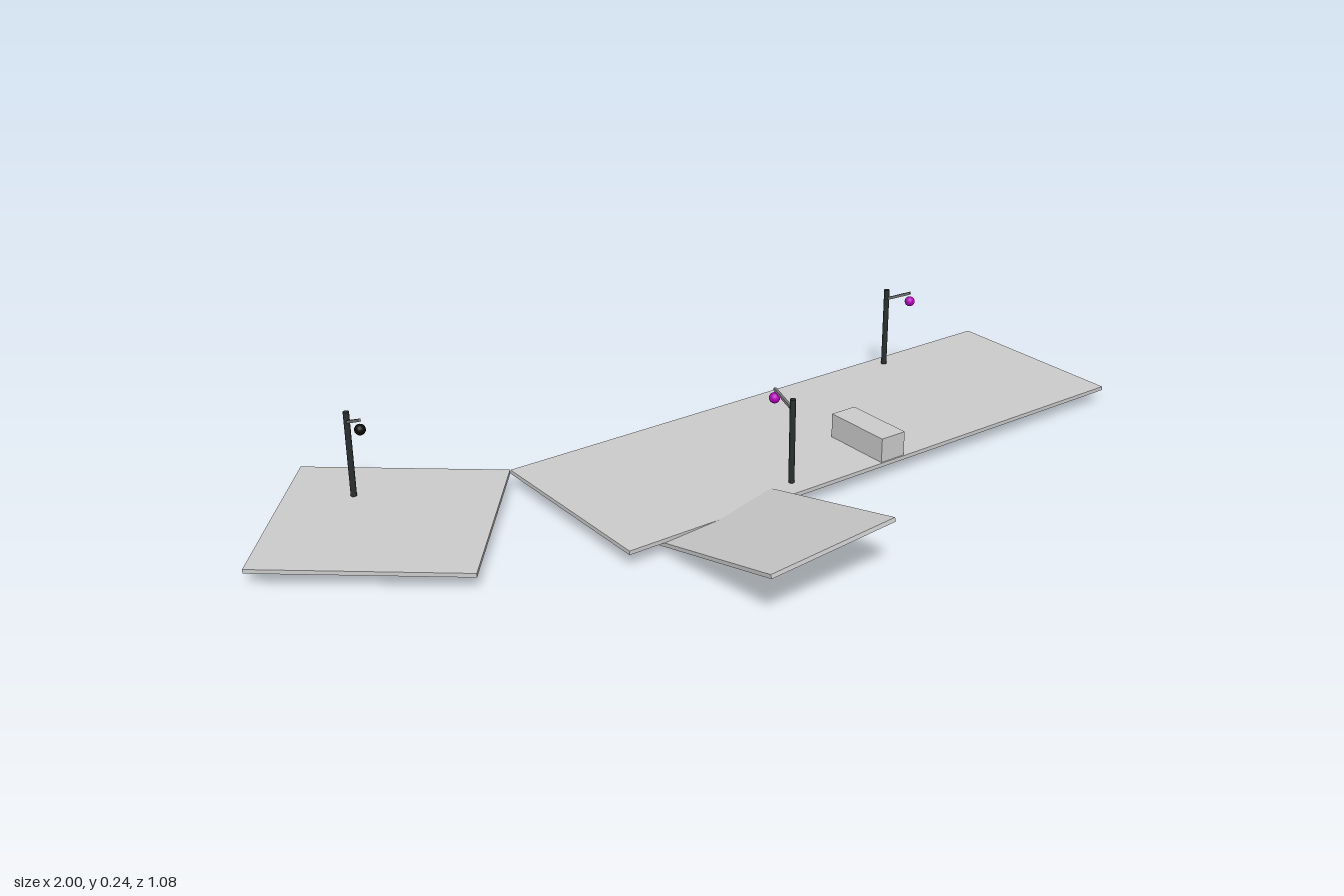
import * as THREE from 'three';

const grey = new THREE.MeshStandardMaterial({ color: 0xcccccc });
const dark = new THREE.MeshStandardMaterial({ color: 0x2a2e2e });
const armGrey = new THREE.MeshStandardMaterial({ color: 0x777777 });
const black = new THREE.MeshStandardMaterial({ color: 0x080808 });
const purple = new THREE.MeshStandardMaterial({ color: 0xb400bc });

const TILE = 0.4545;   // side of a square floor tile
const THICK = 0.009;
const FLOOR = 0.0345;  // mid height of the floor tiles

function addBox(parent, name, size, pos, rot = [0, 0, 0], material = grey) {
  const mesh = new THREE.Mesh(new THREE.BoxGeometry(...size), material);
  mesh.name = name;
  mesh.position.set(...pos);
  mesh.rotation.set(...rot);
  parent.add(mesh);
  return mesh;
}

// Post with a rising arm towards local +z and a ball lamp hung at its tip
function lampPost(x, z, yaw, ballMaterial) {
  const post = new THREE.Group();
  post.name = 'lampPost';

  const pole = new THREE.Mesh(new THREE.CylinderGeometry(0.0065, 0.0065, 0.2, 16), dark);
  pole.name = 'pole';
  pole.position.y = 0.131;
  post.add(pole);

  addBox(post, 'lampArm', [0.006, 0.006, 0.066], [0, 0.221, 0.031], [-0.4, 0, 0], armGrey);

  const ball = new THREE.Mesh(new THREE.SphereGeometry(0.0118, 24, 16), ballMaterial);
  ball.name = 'lampBall';
  ball.position.set(0, 0.213, 0.061);
  post.add(ball);

  post.position.set(x, 0, z);
  post.rotation.y = yaw;
  return post;
}

export function createModel() {
  const model = new THREE.Group();
  model.name = 'platformCourse';

  // Straight run of three tiles
  for (let i = 0; i < 3; i++) {
    addBox(model, 'floorTile', [TILE, THICK, TILE], [1 - TILE * (i + 0.5), FLOOR, -0.028]);
  }

  // Turned tile touching the run at one corner
  addBox(model, 'turnedTile', [TILE, THICK, TILE], [-0.683, FLOOR, -0.222], [0, -0.677, 0]);

  // Ramp pitched up to the front and rolled, sinking through the floor
  addBox(model, 'ramp', [0.31, THICK, 0.437], [-0.124, 0.065, 0.323], [-0.233, 0, 0.066]);

  // Block standing on the middle tile
  addBox(model, 'block', [0.065, 0.06, 0.167], [0.332, 0.065, 0.1125]);

  // Lamp posts
  model.add(
    lampPost(-0.688, -0.346, 0, black),
    lampPost(0.083, 0.153, Math.PI, purple),
    lampPost(0.68, -0.222, 0.4, purple),
  );

  return model;
}
